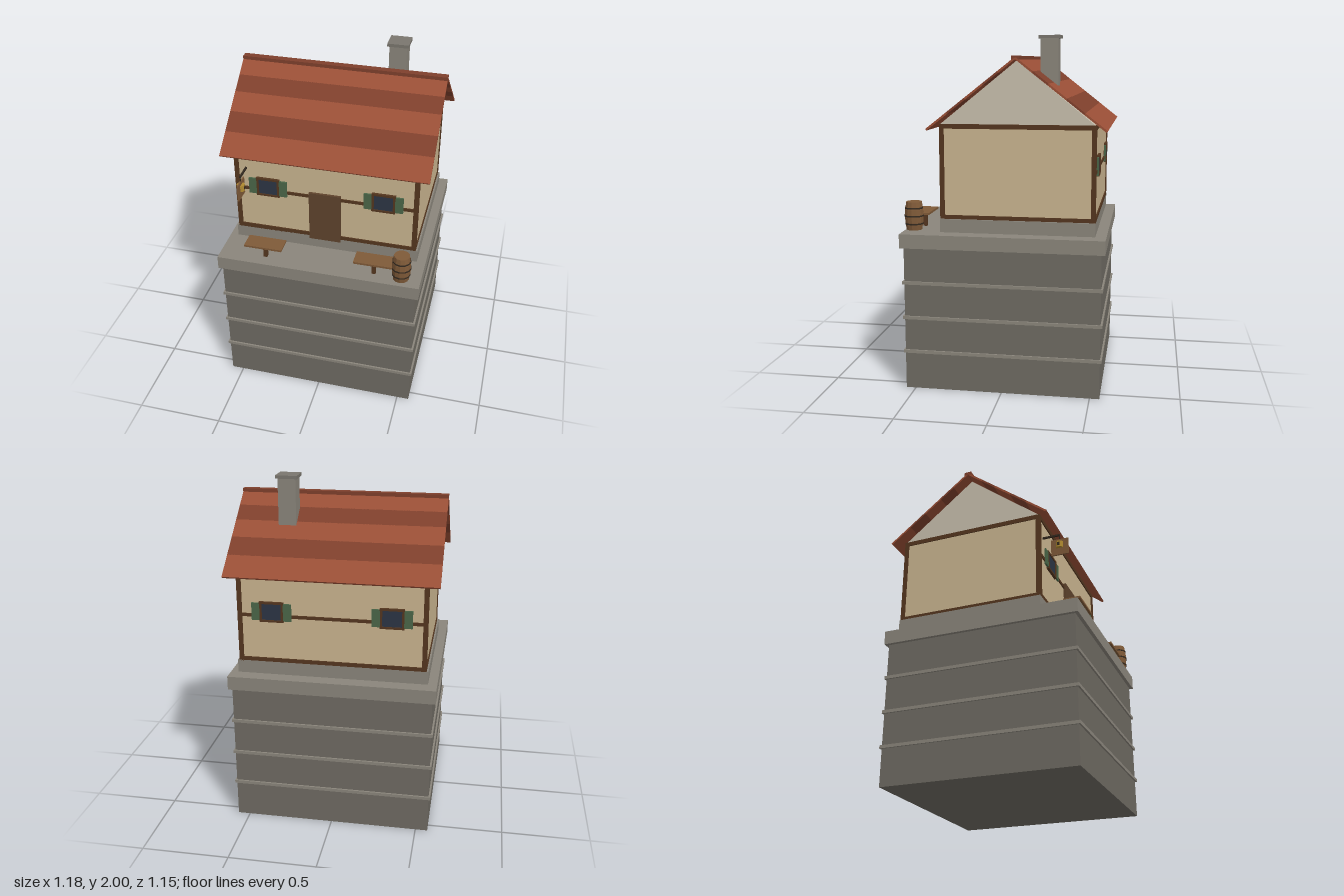
import * as THREE from 'three';

const COLORS = {
  stone: 0x6e6a62, paleStone: 0x8a857b, chimney: 0x7a766e, plaster: 0xc9b48f, gable: 0xc8bfad,
  timber: 0x54361f, door: 0x5e432c, plank: 0x7f5a38, tile: 0x9a4f36, darkTile: 0x7f402c,
  shutter: 0x4a6648, glass: 0x2c3544, iron: 0x33291f, lamp: 0xb08a30,
};
const mats = {};
for (const k in COLORS) mats[k] = new THREE.MeshStandardMaterial({ color: COLORS[k], flatShading: true });

function add(parent, name, geometry, mat, x = 0, y = 0, z = 0) {
  const mesh = new THREE.Mesh(geometry, mats[mat]);
  mesh.name = name;
  mesh.position.set(x, y, z);
  parent.add(mesh);
  return mesh;
}

// Box given by its extents on each axis
function box(parent, name, mat, [x0, x1], [y0, y1], [z0, z1]) {
  return add(parent, name, new THREE.BoxGeometry(x1 - x0, y1 - y0, z1 - z0), mat,
    (x0 + x1) / 2, (y0 + y1) / 2, (z0 + z1) / 2);
}

function group(parent, name) {
  const g = new THREE.Group();
  g.name = name;
  parent.add(g);
  return g;
}

const CZ = -0.083;    // house centre in z
const HX = 0.525;     // wall half width
const HZ = 0.426;     // wall half depth

function tower(root) {
  const g = group(root, 'tower');
  box(g, 'towerBody', 'stone', [-0.57, 0.57], [0, 0.83], [-0.555, 0.555]);
  for (const y of [0.22, 0.42, 0.623])
    box(g, 'towerBand', 'paleStone', [-0.58, 0.58], [y - 0.009, y + 0.009], [-0.565, 0.565]);
  box(g, 'towerTop', 'paleStone', [-0.59, 0.59], [0.825, 0.905], [-0.575, 0.575]);
}

// Window with frame and shutters, facing +z
function windowUnit(parent, x) {
  const g = group(parent, 'window');
  g.position.set(x, 1.287, HZ);
  box(g, 'glass', 'glass', [-0.056, 0.056], [-0.048, 0.048], [0, 0.01]);
  for (const s of [-1, 1]) {
    add(g, 'frameRail', new THREE.BoxGeometry(0.136, 0.012, 0.018), 'timber', 0, s * 0.052, 0.006);
    add(g, 'frameStile', new THREE.BoxGeometry(0.012, 0.112, 0.018), 'timber', s * 0.06, 0, 0.006);
    add(g, 'shutter', new THREE.BoxGeometry(0.046, 0.1, 0.01), 'shutter', s * 0.089, 0, 0.008);
  }
}

function house(root) {
  const g = group(root, 'house');
  g.position.z = CZ;
  box(g, 'plinth', 'paleStone', [-0.54, 0.54], [0.915, 0.99], [-0.433, 0.433]);
  box(g, 'walls', 'plaster', [-HX, HX], [0.985, 1.51], [-HZ, HZ]);

  // Timber frame: corner posts, sills and top rails
  for (const sx of [-1, 1]) for (const sz of [-1, 1])
    add(g, 'cornerPost', new THREE.BoxGeometry(0.026, 0.53, 0.026), 'timber', sx * 0.517, 1.25, sz * 0.42);
  for (const y of [0.999, 1.506]) for (const s of [-1, 1]) {
    add(g, 'longBeam', new THREE.BoxGeometry(1.06, 0.026, 0.024), 'timber', 0, y, s * 0.421);
    add(g, 'sideBeam', new THREE.BoxGeometry(0.024, 0.026, 0.866), 'timber', s * 0.518, y, 0);
  }

  // Front and back walls share the middle beam and windows
  for (const turn of [0, Math.PI]) {
    const face = group(g, turn ? 'backWall' : 'frontWall');
    face.rotation.y = turn;
    add(face, 'middleBeam', new THREE.BoxGeometry(1.04, 0.018, 0.014), 'timber', 0, 1.263, HZ);
    for (const s of [-1, 1]) windowUnit(face, s * 0.335);
  }
  box(g, 'door', 'door', [-0.094, 0.091], [0.975, 1.29], [0.42, 0.441]);

  // Gable prism
  const tri = new THREE.Shape([[-0.43, 1.515], [0.43, 1.515], [0, 1.862]].map(p => new THREE.Vector2(...p)));
  const gable = add(g, 'gables', new THREE.ExtrudeGeometry(tri, { depth: 1.05, bevelEnabled: false }), 'gable', -0.525);
  gable.rotation.y = Math.PI / 2;
}

function roof(root) {
  const g = group(root, 'roof');
  g.position.z = CZ;
  const rise = 0.383, run = 0.49, angle = Math.atan2(rise, run);
  const stops = [0, 0.19, 0.36, 0.56, 0.76, 1.0];   // tile rows, ridge to eave
  for (const turn of [0, Math.PI]) {
    const side = group(g, turn ? 'backSlope' : 'frontSlope');
    side.rotation.y = turn;
    for (let i = 0; i < 5; i++) {
      const a = stops[i], b = stops[i + 1], m = (a + b) / 2;
      const row = add(side, 'tileRow',
        new THREE.BoxGeometry(1.18, 0.011, Math.hypot(rise, run) * (b - a) + 0.002),
        i % 2 ? 'darkTile' : 'tile', 0, 1.874 - rise * m, run * m);
      row.rotation.x = angle;
    }
  }
  box(g, 'ridgeCap', 'darkTile', [-0.59, 0.59], [1.866, 1.886], [-0.021, 0.021]);
}

function chimney(root) {
  const g = group(root, 'chimney');
  g.position.set(0.288, 0, -0.235);
  box(g, 'stack', 'paleStone', [-0.05, 0.05], [1.62, 1.985], [-0.05, 0.05]);
  box(g, 'chimneyCap', 'chimney', [-0.061, 0.061], [1.982, 2], [-0.061, 0.061]);
}

function bench(root, x) {
  const g = group(root, 'bench');
  g.position.set(x, 0, 0.494);
  box(g, 'benchSeat', 'plank', [-0.111, 0.111], [0.988, 1.0], [-0.05, 0.05]);
  box(g, 'benchLeg', 'timber', [-0.011, 0.011], [0.905, 0.99], [-0.011, 0.011]);
}

function barrel(root) {
  const g = group(root, 'barrel');
  g.position.set(0.479, 0.915, 0.515);
  const profile = [[0, 0], [0.045, 0], [0.052, 0.045], [0.054, 0.08], [0.052, 0.115], [0.045, 0.16], [0, 0.16]];
  add(g, 'staves', new THREE.LatheGeometry(profile.map(p => new THREE.Vector2(...p)), 12), 'plank');
  for (const [y, r] of [[0.035, 0.053], [0.08, 0.0565], [0.125, 0.053]])
    add(g, 'hoop', new THREE.CylinderGeometry(r, r, 0.008, 12), 'iron', 0, y, 0);
}

function sign(root) {
  const g = group(root, 'hangingSign');
  g.position.x = -0.462;
  box(g, 'bracket', 'iron', [-0.005, 0.005], [1.39, 1.4], [0.34, 0.447]);
  box(g, 'hanger', 'iron', [-0.002, 0.002], [1.36, 1.393], [0.441, 0.445]);
  box(g, 'signBoard', 'plank', [-0.004, 0.004], [1.265, 1.366], [0.394, 0.496]);
  add(g, 'lantern', new THREE.CylinderGeometry(0.023, 0.023, 0.038, 10), 'lamp', 0, 1.327, 0.444);
  for (const s of [-1, 1])
    box(g, 'lanternPane', 'iron', s < 0 ? [-0.0235, -0.02] : [0.02, 0.0235], [1.317, 1.337], [0.437, 0.451]);
}

export function createModel() {
  const root = new THREE.Group();
  root.name = 'towerCottage';
  tower(root);
  house(root);
  roof(root);
  chimney(root);
  for (const s of [-1, 1]) bench(root, s * 0.32);
  barrel(root);
  sign(root);
  return root;
}
